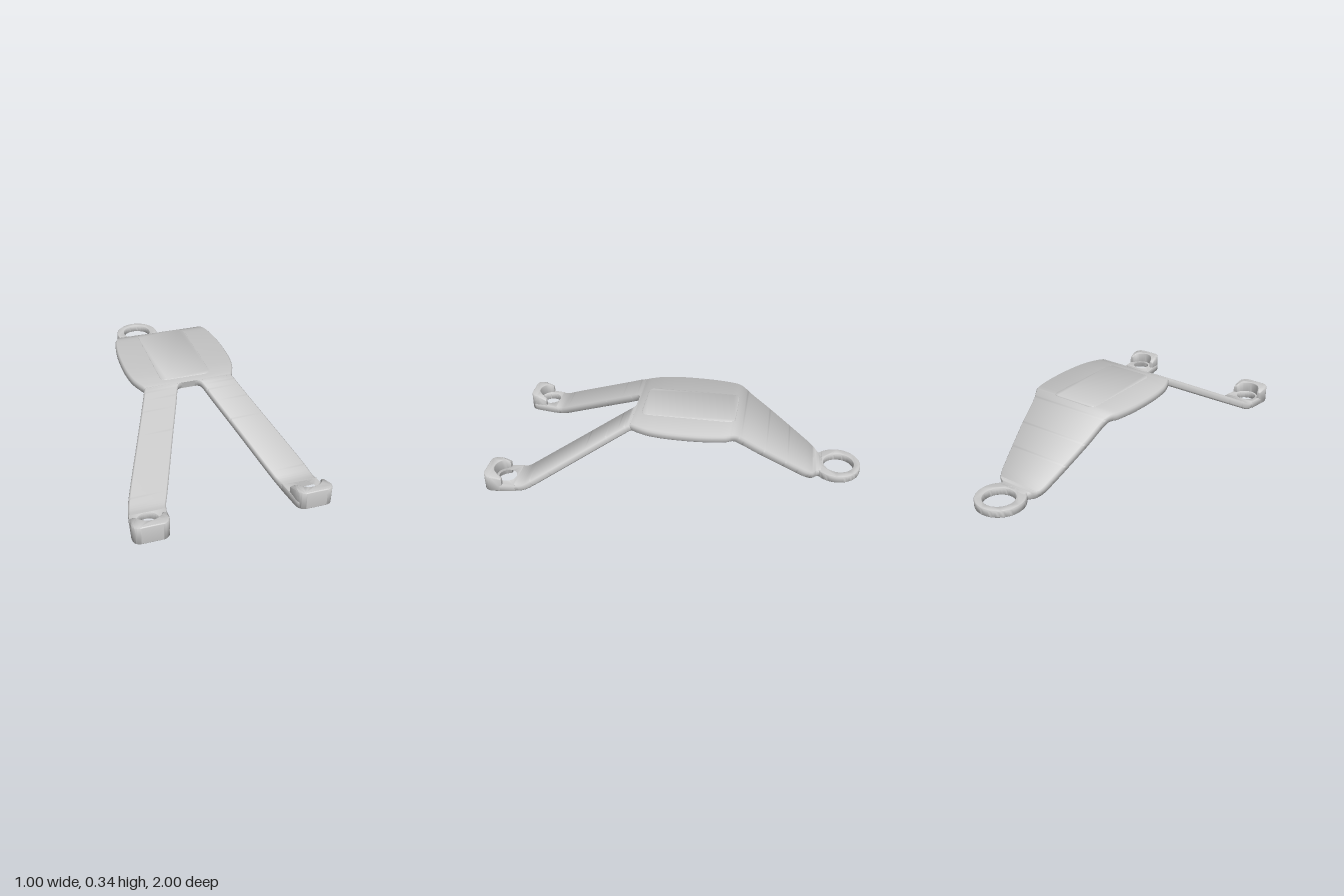
import * as THREE from 'three';
import { toCreasedNormals } from 'three/addons/utils/BufferGeometryUtils.js';

const T = 0.042; // sheet thickness
const material = new THREE.MeshStandardMaterial({ color: 0xcccccc });

function mesh(name, geometry) {
  const m = new THREE.Mesh(toCreasedNormals(geometry, 0.9), material);
  m.name = name;
  return m;
}

// Ramp from 0 to 1 with rounded bends, used for the folded side profile
const soft = (x, k = 0.05) => (x < -k ? 0 : x > k ? x : (x + k) ** 2 / (4 * k));
const ramp = (z, a, b) => {
  const u = (z - a) / (b - a);
  return soft(u) - soft(u - 1);
};
const height = z => T / 2 + 0.299 * (z < 0 ? ramp(z, -0.742, -0.305) : ramp(z, 0.798, 0.245));

// Smooth edge line x(z) through [z, x] points
function edge(points) {
  const pts = new THREE.CatmullRomCurve3(points.map(([z, x]) => new THREE.Vector3(x, 0, z))).getPoints(120);
  return z => {
    let i = 1;
    while (i < pts.length - 1 && pts[i].z < z) i++;
    const a = pts[i - 1], b = pts[i];
    return a.x + (b.x - a.x) * THREE.MathUtils.clamp((z - a.z) / (b.z - a.z), 0, 1);
  };
}

// Bent sheet between two edge lines, with chamfered cross-sections
function sheet(z0, z1, left, right, rows = 90) {
  const pos = [], idx = [], n = 8, c = 0.008, h = T / 2;
  for (let i = 0; i <= rows; i++) {
    const z = z0 + (z1 - z0) * i / rows, y = height(z);
    const slope = (height(z + 0.002) - height(z - 0.002)) / 0.004;
    const len = Math.hypot(1, slope), ny = 1 / len, nz = -slope / len;
    const a = left(z), b = right(z);
    const section = [[a + c, -h], [b - c, -h], [b, c - h], [b, h - c], [b - c, h], [a + c, h], [a, h - c], [a, c - h]];
    for (const [x, d] of section) pos.push(x, y + d * ny, z + d * nz);
  }
  for (let i = 0; i < rows; i++) {
    for (let j = 0; j < n; j++) {
      const a = i * n + j, b = i * n + (j + 1) % n;
      idx.push(a, b, b + n, a, b + n, a + n);
    }
  }
  const e = rows * n;
  for (let j = 1; j < n - 1; j++) idx.push(0, j + 1, j, e, e + j, e + j + 1);
  const g = new THREE.BufferGeometry();
  g.setAttribute('position', new THREE.Float32BufferAttribute(pos, 3));
  g.setIndex(idx);
  return g;
}

// Flat plan shape (x, z) raised from y0 to y1 with softened rims
function slab(shape, y0, y1, bevel = 0.006) {
  const g = new THREE.ExtrudeGeometry(shape, {
    depth: y1 - y0 - 2 * bevel, bevelSize: bevel, bevelThickness: bevel,
    bevelOffset: -bevel, bevelSegments: 3, curveSegments: 32,
  });
  return g.rotateX(Math.PI / 2).translate(0, y1 - bevel, 0);
}

function circle(x, z, r) {
  return new THREE.Path().absarc(x, z, r, 0, Math.PI * 2, true);
}

export function createModel() {
  const group = new THREE.Group();

  // Main plate with the sloping tail
  const half = edge([
    [-0.79, 0.09], [-0.765, 0.092], [-0.745, 0.118], [-0.71, 0.142], [-0.66, 0.158], [-0.58, 0.18],
    [-0.45, 0.213], [-0.34, 0.236], [-0.31, 0.252], [-0.28, 0.27], [-0.22, 0.283], [-0.13, 0.293],
    [0, 0.295], [0.08, 0.29], [0.15, 0.278], [0.2, 0.26], [0.242, 0.24],
  ]);
  group.add(mesh('plate', sheet(-0.79, 0.242, z => -half(z), half, 140)));

  // Ring at the end of the tail
  const ring = new THREE.Shape().absarc(0, -0.87, 0.13, 0, Math.PI * 2);
  ring.holes.push(circle(0, -0.88, 0.083));
  group.add(mesh('tailRing', slab(ring, 0, T)));

  // Rounded pad set into the plate
  const pad = new THREE.Shape(), w = 0.138, r = 0.04, zb = -0.305, zf = 0.205;
  pad.moveTo(-w + r, zb).lineTo(w - r, zb).quadraticCurveTo(w, zb, w, zb + r);
  pad.lineTo(w, zf - r).quadraticCurveTo(w, zf, w - r, zf).lineTo(r - w, zf);
  pad.quadraticCurveTo(-w, zf, -w, zf - r).lineTo(-w, zb + r).quadraticCurveTo(-w, zb, -w + r, zb);
  group.add(mesh('pad', slab(pad, 0.297, 0.343, 0.003)));

  const inner = edge([[0.238, 0.02], [0.243, 0.042], [0.255, 0.06], [0.28, 0.074], [0.33, 0.094],
    [0.5, 0.165], [0.7, 0.247], [0.77, 0.276], [0.8, 0.288], [0.84, 0.297]]);
  const outer = edge([[0.238, 0.24], [0.28, 0.256], [0.5, 0.352], [0.7, 0.44], [0.76, 0.464],
    [0.8, 0.475], [0.84, 0.482]]);

  for (const s of [1, -1]) {
    const side = s > 0 ? 'left' : 'right';

    // Leg
    const [a, b] = s > 0 ? [inner, outer] : [outer, inner];
    group.add(mesh(side + 'Leg', sheet(0.238, 0.838, z => s * a(z), z => s * b(z))));

    // Foot with a round hole
    const foot = new THREE.Shape();
    foot.moveTo(s * 0.296, 0.832).lineTo(s * 0.313, 0.95);
    foot.quadraticCurveTo(s * 0.318, 0.995, s * 0.355, 0.997).lineTo(s * 0.46, 0.997);
    foot.quadraticCurveTo(s * 0.495, 0.995, s * 0.497, 0.955).lineTo(s * 0.482, 0.832);
    foot.holes.push(circle(s * 0.4, 0.895, 0.054));
    group.add(mesh(side + 'Foot', slab(foot, 0, T)));

    // Raised toe stop, hollowed around the hole
    const stop = new THREE.Shape();
    stop.moveTo(s * 0.31, 0.9).lineTo(s * 0.315, 0.95);
    stop.quadraticCurveTo(s * 0.32, 0.998, s * 0.355, 1).lineTo(s * 0.405, 1).lineTo(s * 0.46, 1);
    stop.quadraticCurveTo(s * 0.497, 0.998, s * 0.498, 0.955).lineTo(s * 0.49, 0.9);
    for (let i = 0; i <= 16; i++) {
      const t = 0.15 + (Math.PI - 0.3) * i / 16;
      stop.lineTo(s * (0.402 + 0.07 * Math.cos(t)), 0.89 + 0.07 * Math.sin(t));
    }
    const g = slab(stop, 0.002, 0.104, 0.005), p = g.attributes.position;
    for (let i = 0; i < p.count; i++) {
      if (p.getY(i) < 0.06) continue;
      const back = Math.max(0, 0.95 - p.getZ(i));
      const out = Math.abs(Math.abs(p.getX(i)) - 0.405) / 0.09;
      p.setY(i, p.getY(i) - 8 * back ** 2 - 0.007 * out ** 4);
    }
    group.add(mesh(side + 'ToeStop', g));
  }
  return group;
}
